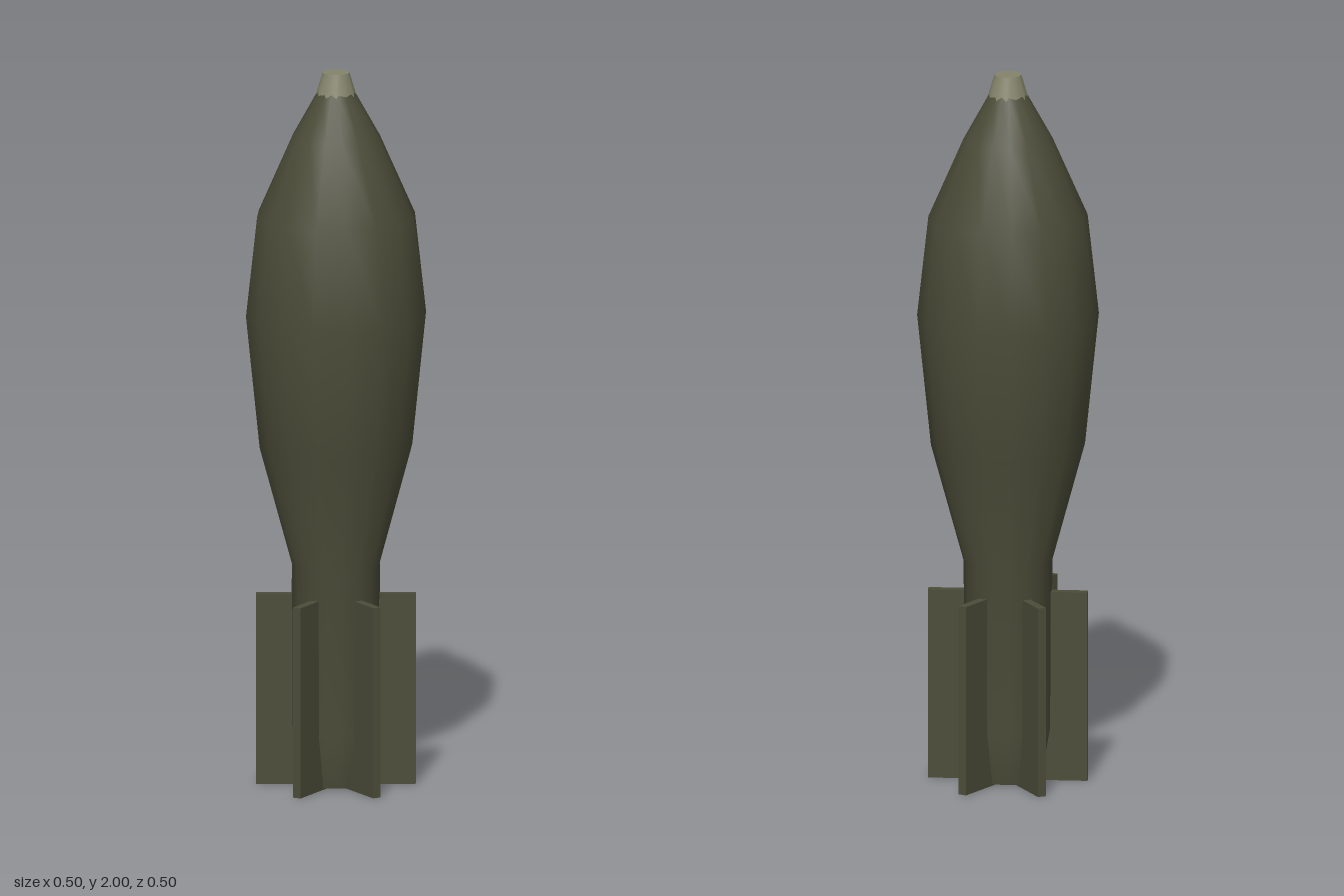
import * as THREE from 'three';

export function createModel() {
  const model = new THREE.Group();
  const olive = new THREE.MeshStandardMaterial({ name: 'olive paint', color: 0x4b4c38 });
  const metal = new THREE.MeshStandardMaterial({ name: 'grey fuze metal', color: 0x84846c });

  const add = (name, geometry, material, y = 0) => {
    const mesh = new THREE.Mesh(geometry, material);
    mesh.name = name;
    mesh.position.y = y;
    model.add(mesh);
    return mesh;
  };

  // Teardrop body running into the straight tail tube: [radius, height]
  const profile = [
    [0.095, 0.005], [0.12, 0.15], [0.122, 0.62], [0.212, 0.95],
    [0.25, 1.32], [0.219, 1.6], [0.122, 1.82], [0.055, 1.94], [0.035, 1.975],
  ].map(([r, y]) => new THREE.Vector2(r, y));
  add('body', new THREE.LatheGeometry(profile, 16), olive);

  // Flat cap closing the tail tube
  const cap = add('tailCap', new THREE.CircleGeometry(0.095, 16), olive, 0.005);
  cap.rotation.x = Math.PI / 2;

  // Tapered nose fuze, sunk into the body
  add('noseFuze', new THREE.CylinderGeometry(0.037, 0.067, 0.1, 12), metal, 1.95);

  // Three plates crossing at the axis make six fins
  for (let i = 0; i < 3; i++) {
    const fin = add('finPair', new THREE.BoxGeometry(0.024, 0.535, 0.44), olive, 0.2675);
    fin.rotation.y = (i * Math.PI) / 3;
  }

  return model;
}
